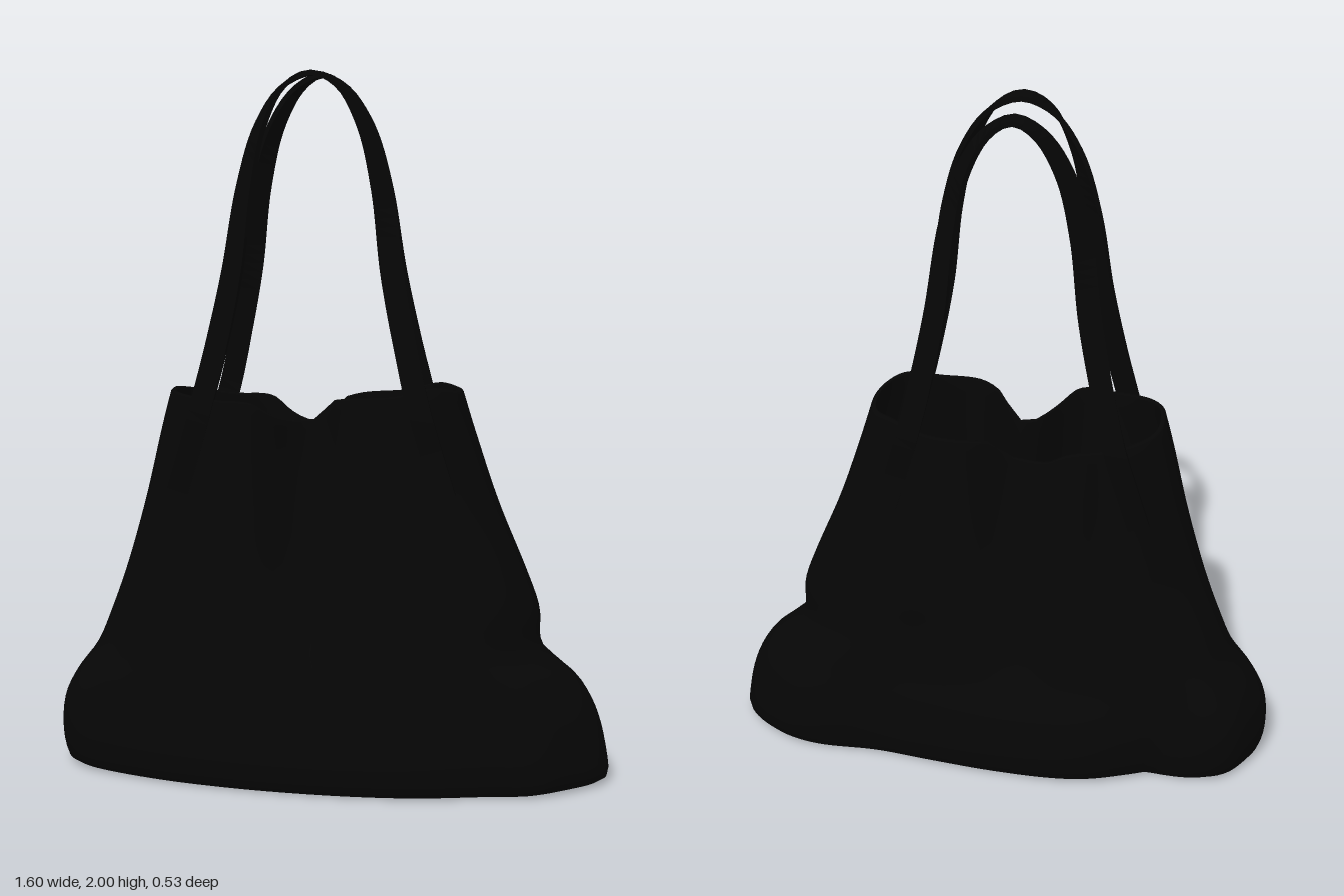
import * as THREE from 'three';

const leather = new THREE.MeshStandardMaterial({ color: 0x060606 });
const { lerp, smoothstep } = THREE.MathUtils;

// smooth curve through [position, value] pairs
function curve(pairs) {
  return (t) => {
    if (t <= pairs[0][0]) return pairs[0][1];
    for (let i = 1; i < pairs.length; i++) {
      if (t > pairs[i][0]) continue;
      const slope = (k) => {
        const a = pairs[Math.max(k - 1, 0)], b = pairs[Math.min(k + 1, pairs.length - 1)];
        return (b[1] - a[1]) / (b[0] - a[0]);
      };
      const [x0, y0] = pairs[i - 1], [x1, y1] = pairs[i], h = x1 - x0, s = (t - x0) / h;
      const s2 = s * s, s3 = s2 * s;
      return (2 * s3 - 3 * s2 + 1) * y0 + (s3 - 2 * s2 + s) * h * slope(i - 1)
        + (3 * s2 - 2 * s3) * y1 + (s3 - s2) * h * slope(i);
    }
    return pairs[pairs.length - 1][1];
  };
}

// half extents of the bag in each direction by height
const minusX = curve([[0, .76], [.02, .785], [.1, .8], [.2, .79], [.28, .75], [.36, .69], [.45, .65], [.6, .595], [.8, .535], [1, .485], [1.11, .455]]);
const plusX = curve([[0, .775], [.02, .795], [.06, .797], [.2, .765], [.3, .71], [.36, .64], [.4, .602], [.5, .595], [.6, .56], [.8, .475], [1, .405], [1.11, .37]]);
const front = curve([[0, .235], [.02, .25], [.1, .26], [.2, .245], [.4, .215], [.6, .2], [.8, .195], [1.11, .187]]);
const back = curve([[0, .235], [.02, .25], [.1, .26], [.2, .25], [.3, .22], [.4, .2], [.5, .19], [.7, .185], [1.11, .175]]);
// wavy top edge by x
const rim = curve([[-.46, 1.115], [-.3, 1.1], [-.2, 1.095], [-.14, 1.055], [-.07, 1.035], [-.02, 1.05], [.02, 1.1], [.2, 1.12], [.3, 1.14], [.37, 1.12]]);
// slumped outline of the base, relative to an ellipse, from end to end
const frontSlump = curve([[-1, 1.1], [-.95, 1.1], [-.81, .99], [-.54, .98], [-.24, 1], [.32, 1.04], [.62, 1.01], [.78, 1.09], [.91, .95], [1, .9]]);
const backSlump = curve([[-1, 1.1], [-.975, 1.15], [-.9, 1.38], [-.8, 1.27], [-.61, .93], [-.54, .96], [-.4, 1.04], [-.275, 1.05], [.02, .96], [.26, .88], [.49, .85], [.78, 1.06], [.91, 1.02], [1, .95]]);

// roundness of the horizontal section: elliptical base, boxier top
const corner = (y) => lerp(1, .7, Math.min(y / 1.1, 1));
// soft vertical folds pressed into the middle of both faces
function fold(x, y, isFront) {
  return smoothstep(y, .2, 1.1) * ((isFront ? .11 : .07) * Math.exp(-(((x + .05) / .09) ** 2))
    - .012 * Math.exp(-(((x + .2) / .07) ** 2)));
}
function section(y) {
  const l = minusX(y), r = plusX(y);
  return { cx: (r - l) / 2, hx: (r + l) / 2 };
}
// depth of a face of the upper bag at x, y
function faceZ(x, y, isFront) {
  const { cx, hx } = section(y), p = corner(y);
  const c = Math.min(Math.abs(x - cx) / hx, .99) ** (1 / p);
  return (isFront ? front(y) : back(y)) * (1 - c * c) ** (p / 2) - fold(x, y, isFront);
}

// outer wall, lip, inner wall and floor as one closed skin
function bagBody() {
  const N = 160, rows = [[0, 0, 0], [0, .5, 0], [0, .97, 0], [.006, .99, 0], [.018, 1, 0]];
  for (let i = 1; i <= 44; i++) rows.push([.018 + (1.105 - .018) * i / 44, 1, 0]);
  rows.push([1.11, 1, .003], [1.11, 1, .012]);
  for (let i = 0; i <= 26; i++) rows.push([1.105 - 1.065 * i / 26, 1, .015]);
  rows.push([.035, .5, .015], [.035, 0, .015]);
  const pos = [], idx = [];
  rows.forEach(([y, k, inset], j) => {
    const { cx, hx } = section(y), p = corner(y);
    const slumped = 1 - smoothstep(y, .22, .65), upper = smoothstep(y, .5, 1.1);
    for (let i = 0; i < N; i++) {
      const a = i / N * Math.PI * 2, c = Math.cos(a), s = Math.sin(a), isFront = s >= 0;
      const u = Math.sign(c) * Math.abs(c) ** p, x = cx + k * (hx - inset) * u;
      const d = ((isFront ? front(y) : back(y)) - inset)
        * lerp(1, isFront ? frontSlump(u) : backSlump(u), slumped);
      // folds fade toward the ends so the section stays closed
      const z = k * (d * Math.abs(s) ** p - fold(x, y, isFront) * Math.min(1, Math.abs(s) * 1.5));
      // the back edge sits slightly lower
      const edge = rim(x) - (isFront ? 0 : .025 * Math.abs(s));
      pos.push(x, y * (1 + (edge / 1.11 - 1) * upper), isFront ? z : -z);
      if (j < rows.length - 1) {
        const b = j * N, n = (i + 1) % N;
        idx.push(b + i, b + N + i, b + n, b + n, b + N + i, b + N + n);
      }
    }
  });
  const g = new THREE.BufferGeometry();
  g.setAttribute('position', new THREE.Float32BufferAttribute(pos, 3));
  g.setIndex(idx);
  g.computeVertexNormals();
  return g;
}

// flat strap that lies on the bag below and turns edge-on over the top
function strap(isFront) {
  const dir = isFront ? 1 : -1, mid = -.04, shift = isFront ? 0 : .014;
  const half = [[-.415, .84], [-.375, .97], [-.338, 1.1], [-.302, 1.25], [-.262, 1.45], [-.23, 1.68], [-.185, 1.85], [-.12, 1.955]];
  const zTop = curve([[1.1, .165], [1.25, .143], [1.45, .115], [1.68, .088], [1.85, .09], [2, .099]]);
  const turnAt = curve([[1.05, 0], [1.35, .25], [1.7, .75], [1.9, 1.2], [1.99, Math.PI / 2]]);
  const place = ([x, y]) => {
    const z = y < 1.05 ? faceZ(x, y, isFront) + .006 : zTop(y);
    return new THREE.Vector3(x, y, dir * z);
  };
  const pts = [...half.map(([x, y]) => place([x + shift, y])), place([mid, 1.991]),
    ...half.slice().reverse().map(([x, y]) => place([2 * mid - x - shift, y]))];
  const path = new THREE.CatmullRomCurve3(pts, false, 'centripetal');
  const STEPS = 96, pos = [], idx = [];
  const tangent = new THREE.Vector3(), side = new THREE.Vector3(), out = new THREE.Vector3();
  for (let i = 0; i <= STEPS; i++) {
    const p = path.getPointAt(i / STEPS), turn = turnAt(p.y);
    path.getTangentAt(i / STEPS, tangent);
    // the outer face of each leg turns away from the middle of the bag
    side.set(-tangent.y, tangent.x, 0).normalize().multiplyScalar(-dir * Math.cos(turn));
    side.z += Math.sin(turn);
    side.addScaledVector(tangent, -side.dot(tangent)).normalize();
    out.crossVectors(tangent, side).normalize();
    for (const [u, v] of [[-1, -1], [1, -1], [1, 1], [-1, 1]]) {
      const q = p.clone().addScaledVector(side, u * .031).addScaledVector(out, v * .007);
      pos.push(q.x, q.y, q.z);
    }
    if (i < STEPS) for (let k = 0; k < 4; k++) {
      const a = i * 4 + k, b = i * 4 + (k + 1) % 4;
      idx.push(a, b, a + 4, b, b + 4, a + 4);
    }
  }
  const e = STEPS * 4;
  idx.push(0, 2, 1, 0, 3, 2, e, e + 1, e + 2, e, e + 2, e + 3);
  let g = new THREE.BufferGeometry();
  g.setAttribute('position', new THREE.Float32BufferAttribute(pos, 3));
  g.setIndex(idx);
  g = g.toNonIndexed();
  g.computeVertexNormals();
  return g;
}

export function createModel() {
  const bag = new THREE.Group();
  bag.name = 'toteBag';
  const add = (name, geometry) => {
    const mesh = new THREE.Mesh(geometry, leather);
    mesh.name = name;
    bag.add(mesh);
  };
  add('bagBody', bagBody());
  add('frontHandle', strap(true));
  add('backHandle', strap(false));
  return bag;
}
